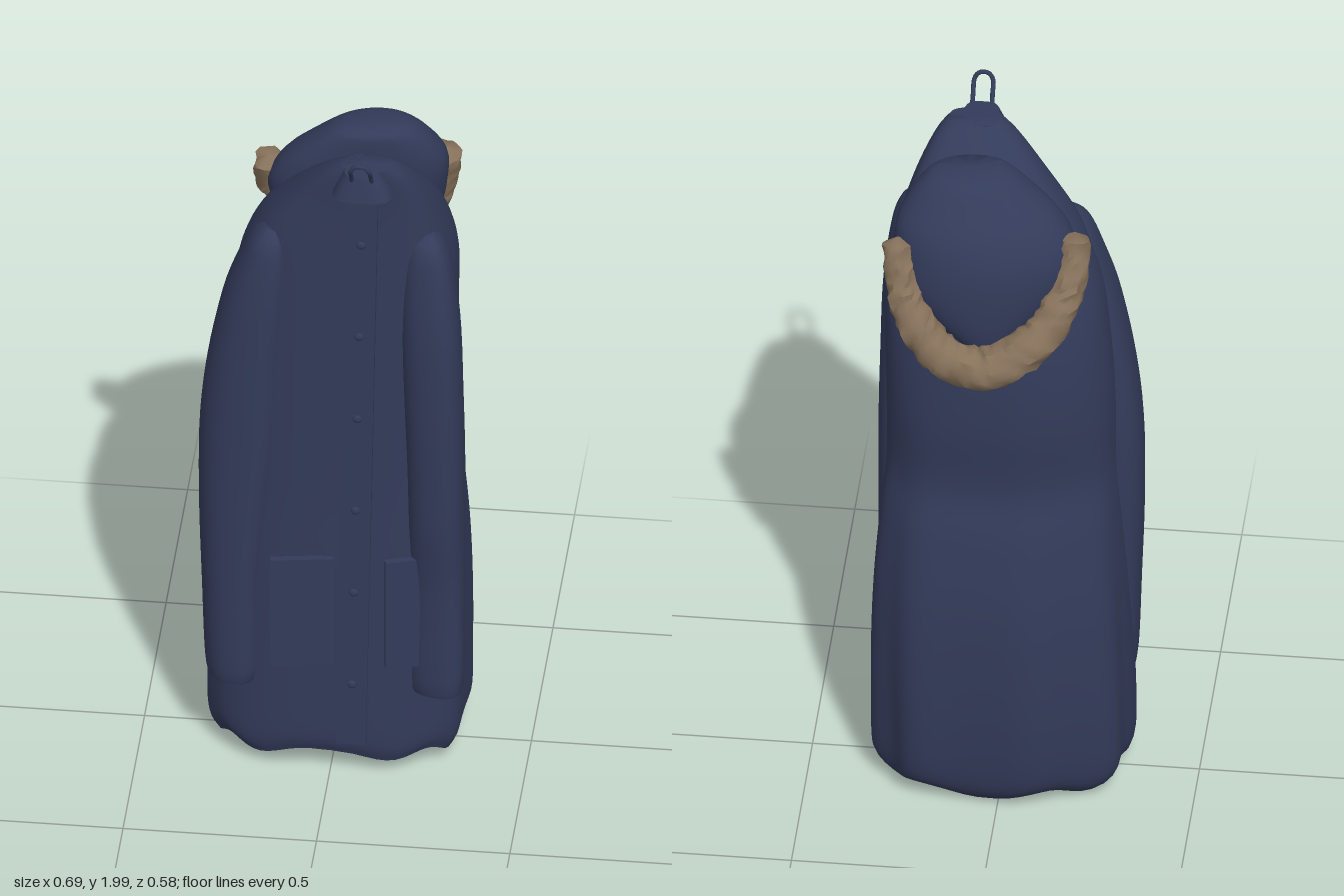
import * as THREE from 'three';
import { toCreasedNormals } from 'three/addons/utils/BufferGeometryUtils.js';

const { clamp } = THREE.MathUtils;

// Smoothly sample rows of numbers at t in 0..1
function sampleRows(rows, t) {
  const f = t * (rows.length - 1);
  const i = Math.min(Math.floor(f), rows.length - 2);
  const u = f - i;
  const row = (k) => rows[Math.max(0, Math.min(rows.length - 1, k))];
  return rows[0].map((_, c) => {
    const [a, b, d, e] = [row(i - 1)[c], row(i)[c], row(i + 1)[c], row(i + 2)[c]];
    return b + 0.5 * u * (d - a + u * (2 * a - 5 * b + 4 * d - e + u * (3 * (b - d) + e - a)));
  });
}

// Closed loft through rows [y, xMin, xMax, zBack, zFront], listed from the bottom up
function loft(rows, { power = () => 2.5, segs = 40, steps = 40, warp = () => {} } = {}) {
  const pos = [], idx = [];
  const bend = (v, n) => Math.sign(v) * Math.pow(Math.abs(v), 2 / n);
  const centres = [];
  for (let j = 0; j <= steps; j++) {
    const [y, x0, x1, z0, z1] = sampleRows(rows, j / steps);
    const cx = (x0 + x1) / 2, cz = (z0 + z1) / 2;
    centres.push([cx, y, cz]);
    for (let i = 0; i < segs; i++) {
      const a = (i / segs) * Math.PI * 2, n = power(a);
      const p = new THREE.Vector3(bend(Math.cos(a), n) * (x1 - x0) / 2, y, bend(Math.sin(a), n) * (z1 - z0) / 2);
      warp(p, a);
      pos.push(cx + p.x, p.y, cz + p.z);
    }
  }
  pos.push(...centres[0], ...centres[steps]);
  const bottom = segs * (steps + 1), top = bottom + 1, last = steps * segs;
  for (let i = 0; i < segs; i++) {
    const n = (i + 1) % segs;
    for (let j = 0; j < steps; j++) {
      const a = j * segs + i, b = j * segs + n;
      idx.push(a, a + segs, b, b, a + segs, b + segs);
    }
    idx.push(bottom, i, n, top, last + n, last + i);
  }
  const g = new THREE.BufferGeometry();
  g.setAttribute('position', new THREE.Float32BufferAttribute(pos, 3));
  g.setIndex(idx);
  return toCreasedNormals(g, 0.8);
}

// Shaggy tube, thickest in the middle, with closed ends
function furGeometry(points) {
  const curve = new THREE.CatmullRomCurve3(points.map((p) => new THREE.Vector3(...p)));
  const rings = 50, sides = 14;
  const g = new THREE.TubeGeometry(curve, rings, 1, sides, false);
  const pos = g.attributes.position;
  let seed = 7;
  const rand = () => (seed = (seed * 16807) % 2147483647) / 2147483647;
  const v = new THREE.Vector3();
  for (let j = 0; j <= rings; j++) {
    const c = curve.getPointAt(j / rings);
    const end = j === 0 || j === rings ? 0.01 : 1;
    let first = 1;
    for (let i = 0; i <= sides; i++) {
      const k = j * (sides + 1) + i;
      let r = (0.031 + 0.016 * Math.sin(Math.PI * j / rings) + 0.014 * rand()) * end;
      if (i === 0) first = r;
      if (i === sides) r = first;
      v.fromBufferAttribute(pos, k).sub(c).multiplyScalar(r).add(c);
      pos.setXYZ(k, v.x, v.y, v.z);
    }
  }
  return toCreasedNormals(g, 0.9);
}

export function createModel() {
  const coat = new THREE.Group();
  coat.name = 'hoodedCoat';
  const navy = new THREE.MeshStandardMaterial({ color: 0x333b5a });
  navy.name = 'navyCloth';
  const brown = new THREE.MeshStandardMaterial({ color: 0x86715a });
  brown.name = 'brownFur';
  const add = (name, geometry, material = navy) => {
    const m = new THREE.Mesh(geometry, material);
    m.name = name;
    coat.add(m);
    return m;
  };

  // Body with hanging folds that deepen towards the wavy hem
  add('body', loft([
    [0.045, -0.30, 0.31, -0.19, 0.195],
    [0.10, -0.33, 0.335, -0.24, 0.208],
    [0.25, -0.333, 0.338, -0.262, 0.21],
    [0.45, -0.325, 0.338, -0.266, 0.21],
    [0.65, -0.315, 0.332, -0.256, 0.21],
    [0.85, -0.30, 0.318, -0.225, 0.206],
    [1.00, -0.29, 0.305, -0.192, 0.205],
    [1.20, -0.285, 0.305, -0.205, 0.205],
    [1.40, -0.27, 0.31, -0.20, 0.205],
    [1.55, -0.245, 0.31, -0.175, 0.205],
    [1.68, -0.19, 0.285, -0.12, 0.205],
    [1.80, -0.1, 0.245, -0.01, 0.205],
    [1.89, -0.02, 0.20, 0.09, 0.212],
    [1.93, 0.03, 0.165, 0.14, 0.215],
  ], {
    segs: 72, steps: 70,
    // the back right corner is rounder than the rest
    power: (a) => (a > Math.PI && a < Math.PI * 1.5 ? 2.2 : 2.8),
    warp(p, a) {
      const low = clamp((1.3 - p.y) / 1.2, 0, 1);
      const behind = clamp(0.6 - Math.sin(a), 0, 1);
      const s = 1 + 0.04 * low * behind * (Math.cos(8 * a + 1.87) - 0.4);
      p.x *= s;
      p.z *= s;
      const hem = clamp((0.25 - p.y) / 0.2, 0, 1);
      p.y += hem * (0.014 * Math.cos(7 * a + 1) + 0.022 * Math.sin(a));
    },
  }));

  // Sleeves hanging in front of the sides, slanted in plan
  const sleeve = { warp(p) { p.z += 0.2 * p.x; } };
  add('leftSleeve', loft([
    [0.285, 0.22, 0.325, 0.09, 0.195],
    [0.30, 0.193, 0.342, 0.07, 0.212],
    [0.60, 0.193, 0.344, 0.05, 0.212],
    [0.80, 0.193, 0.344, 0.035, 0.232],
    [1.00, 0.19, 0.344, 0.035, 0.237],
    [1.20, 0.182, 0.34, 0.04, 0.237],
    [1.42, 0.175, 0.333, 0.045, 0.232],
    [1.60, 0.18, 0.312, 0.055, 0.212],
    [1.67, 0.20, 0.29, 0.08, 0.195],
    [1.70, 0.235, 0.265, 0.13, 0.165],
  ], sleeve));
  add('rightSleeve', loft([
    [0.285, -0.31, -0.21, 0.02, 0.195],
    [0.30, -0.33, -0.182, 0.0, 0.213],
    [0.55, -0.34, -0.18, -0.005, 0.216],
    [0.80, -0.348, -0.16, -0.01, 0.216],
    [1.05, -0.346, -0.137, -0.01, 0.216],
    [1.25, -0.325, -0.128, -0.005, 0.216],
    [1.45, -0.285, -0.115, 0.005, 0.214],
    [1.58, -0.24, -0.112, 0.025, 0.206],
    [1.65, -0.208, -0.118, 0.06, 0.193],
    [1.685, -0.175, -0.135, 0.11, 0.165],
  ], sleeve));

  // Hood lying back behind the neck, blunt in front and tapering to the back
  add('hood', loft([
    [1.45, -0.02, 0.08, -0.20, -0.10],
    [1.53, -0.10, 0.18, -0.215, -0.04],
    [1.62, -0.165, 0.255, -0.218, 0.0],
    [1.71, -0.182, 0.275, -0.21, 0.03],
    [1.79, -0.145, 0.275, -0.185, 0.04],
    [1.86, -0.075, 0.24, -0.14, 0.042],
    [1.905, -0.02, 0.20, -0.105, 0.04],
    [1.92, 0.01, 0.17, -0.07, 0.03],
  ], {
    segs: 36, steps: 28,
    power: (a) => (a < Math.PI ? 2.5 : 2),
    warp(p) {
      p.z -= 0.1 * p.x;
      p.x *= 1 + 0.5 * p.z;
    },
  }));
  add('furTrim', furGeometry([
    [-0.185, 1.765, -0.065], [-0.18, 1.68, -0.095], [-0.14, 1.56, -0.16], [-0.06, 1.475, -0.215],
    [0.04, 1.435, -0.235], [0.15, 1.475, -0.23], [0.23, 1.59, -0.2], [0.255, 1.69, -0.165],
    [0.265, 1.77, -0.14],
  ]), brown);

  // Neck collar and hanging loop
  add('collar', loft([
    [1.86, 0.01, 0.165, 0.15, 0.26],
    [1.895, 0.025, 0.15, 0.145, 0.253],
    [1.93, 0.04, 0.13, 0.14, 0.245],
  ], { power: () => 3.2, segs: 32, steps: 4 }));
  const loopPath = new THREE.CatmullRomCurve3([
    [0.062, 1.91, 0.235], [0.063, 1.945, 0.257], [0.064, 1.975, 0.28], [0.075, 1.992, 0.284],
    [0.088, 1.995, 0.285],
    [0.101, 1.992, 0.284], [0.112, 1.975, 0.28], [0.113, 1.945, 0.257], [0.114, 1.91, 0.235],
  ].map((p) => new THREE.Vector3(...p)));
  add('hangingLoop', new THREE.TubeGeometry(loopPath, 32, 0.006, 8));

  // Front placket with snaps
  const strip = new THREE.Shape([[0.02, 0.12], [0.096, 0.12], [0.127, 1.835], [0.04, 1.835]]
    .map((p) => new THREE.Vector2(...p)));
  add('placket', new THREE.ExtrudeGeometry(strip, { depth: 0.02, bevelEnabled: false })).position.z = 0.2;
  const snap = new THREE.SphereGeometry(0.012, 12, 8);
  for (const y of [0.31, 0.6, 0.86, 1.15, 1.41, 1.7]) {
    const m = add('snap', snap);
    m.position.set(0.055 + 0.017 * y, y, 0.22);
    m.scale.z = 0.5;
  }

  // Patch pockets
  const pocket = (name, x, z, width, turn) => {
    const m = add(name, new THREE.BoxGeometry(width, 0.335, 0.018));
    m.position.set(x, 0.535, z);
    m.rotation.y = turn;
  };
  pocket('rightPocket', -0.068, 0.224, 0.165, 0.15);
  pocket('leftPocket', 0.208, 0.198, 0.13, 0.3);

  return coat;
}
